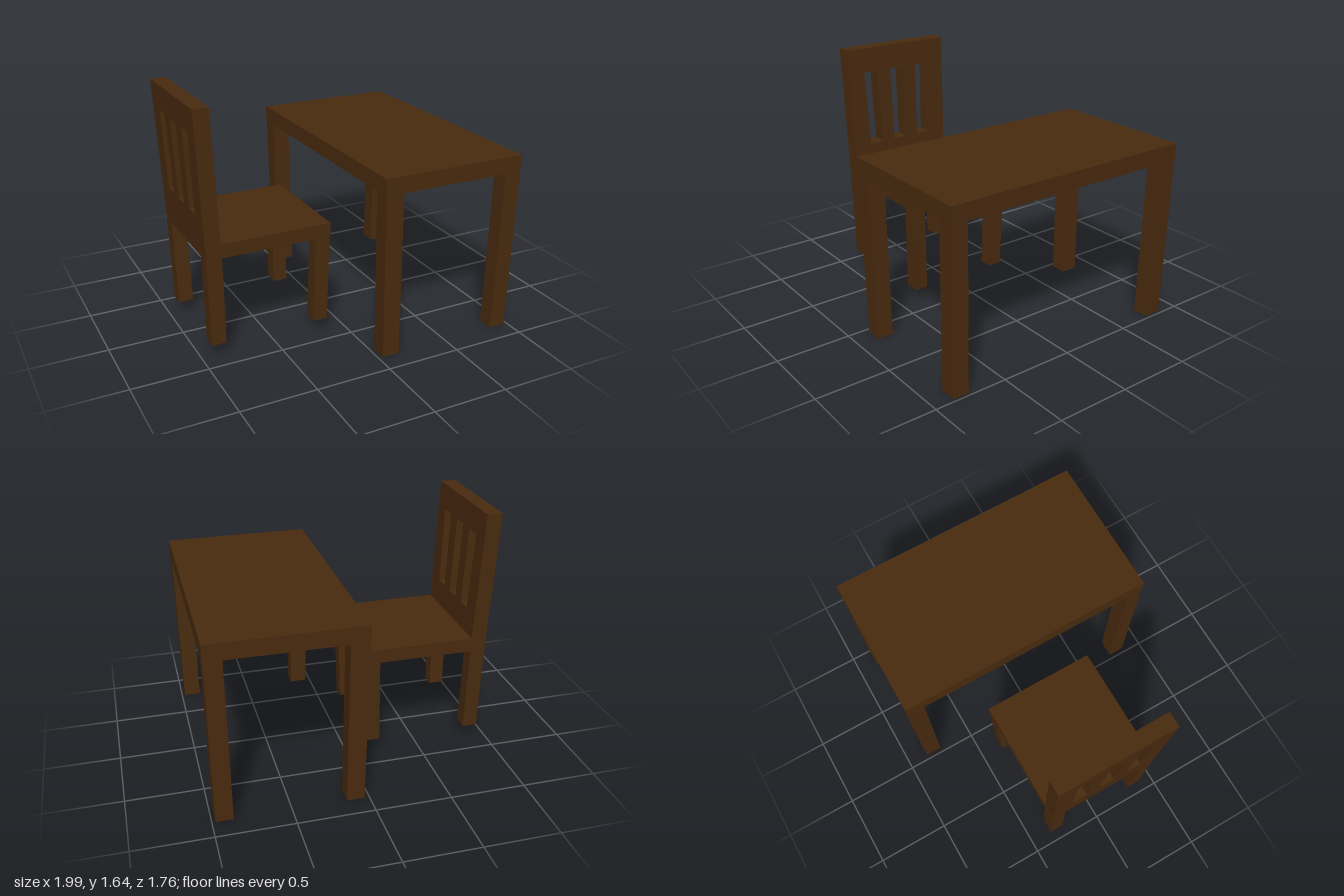
import * as THREE from 'three';

const wood = new THREE.MeshStandardMaterial({ color: 0x4a2b0f, flatShading: true });

function add(group, name, geometry) {
  const mesh = new THREE.Mesh(geometry, wood);
  mesh.name = name;
  group.add(mesh);
}

// Box between two heights whose lower and upper rectangles are [x0, x1, z0, z1]
function block(y0, y1, low, high = low) {
  const g = new THREE.BoxGeometry(1, 1, 1);
  const p = g.attributes.position;
  for (let i = 0; i < p.count; i++) {
    const up = p.getY(i) > 0;
    const r = up ? high : low;
    p.setXYZ(i, r[p.getX(i) > 0 ? 1 : 0], up ? y1 : y0, r[p.getZ(i) > 0 ? 3 : 2]);
  }
  g.computeVertexNormals();
  return g;
}

function createTable() {
  const table = new THREE.Group();
  table.name = 'table';
  add(table, 'tableTop', block(1.1, 1.21, [0.01, 0.995, -0.877, 0.879]));
  // Legs lean slightly inward towards the floor
  for (const [a, b, c, d, sideX] of [[0.032, 0.148, 0.013, 0.135, 'Right'], [0.865, 0.978, 0.879, 0.993, 'Left']]) {
    add(table, `tableFront${sideX}Leg`, block(0, 1.1, [a, b, 0.753, 0.862], [c, d, 0.768, 0.878]));
    add(table, `tableBack${sideX}Leg`, block(0, 1.1, [a, b, -0.86, -0.745], [c, d, -0.876, -0.758]));
  }
  return table;
}

function createChair() {
  const chair = new THREE.Group();
  chair.name = 'chair';
  add(chair, 'seat', block(0.683, 0.776, [-0.87, -0.11, -0.372, 0.403]));

  // Legs: the front pair faces +x, the back pair carries the backrest
  for (const [a, b, c, d, end] of [[-0.225, -0.126, -0.215, -0.114, 'Front'], [-0.938, -0.838, -0.952, -0.85, 'Back']]) {
    add(chair, `chair${end}RightLeg`, block(0.088, 0.683, [a, b, 0.296, 0.39], [c, d, 0.308, 0.402]));
    add(chair, `chair${end}LeftLeg`, block(0.088, 0.683, [a, b, -0.355, -0.256], [c, d, -0.368, -0.27]));
  }

  // Backrest: flared panel with three slots, drawn with u = -z and leaned back
  const quad = (Type, y0, y1, a, b, c, d) => new Type([[a, y0], [b, y0], [c, y1], [d, y1]].map(([u, y]) => new THREE.Vector2(u, y)));
  const panel = quad(THREE.Shape, 0.683, 1.64, -0.4, 0.365, 0.383, -0.414);
  for (const [a, b, c, d] of [[-0.27, -0.167, -0.18, -0.29], [-0.07, 0.033, 0.035, -0.075], [0.13, 0.232, 0.25, 0.14]])
    panel.holes.push(quad(THREE.Path, 0.945, 1.47, a, b, c, d));
  const g = new THREE.ExtrudeGeometry(panel, { depth: 0.103, bevelEnabled: false });
  const lean = -0.048;
  g.applyMatrix4(new THREE.Matrix4().set(
    0, lean, 1, -0.919,
    0, 1, 0, 0,
    -1, 0, 0, 0,
    0, 0, 0, 1));
  add(chair, 'backrest', g);
  return chair;
}

export function createModel() {
  const model = new THREE.Group();
  model.name = 'tableAndChair';
  model.add(createTable(), createChair());
  return model;
}
